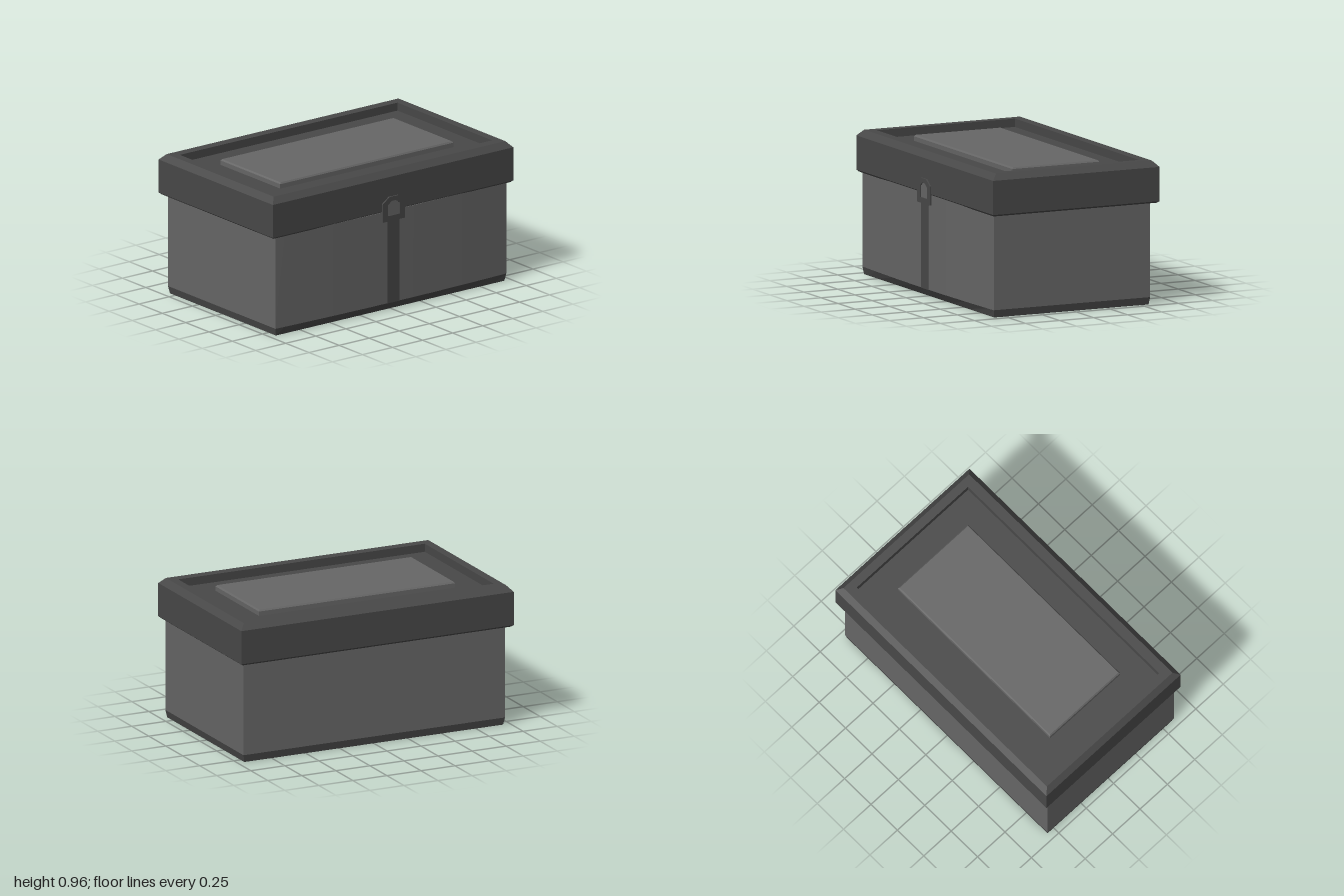
import * as THREE from 'three';

const dark = new THREE.MeshStandardMaterial({ color: 0x484848, flatShading: true });
const light = new THREE.MeshStandardMaterial({ color: 0x666666, flatShading: true });

// Joins horizontal loops [y, [[x, z], ...]] from the bottom up, with caps.
function loft(sections) {
  const pos = [], idx = [], n = sections[0][1].length;
  for (const [y, loop] of sections) for (const [x, z] of loop) pos.push(x, y, z);
  for (let s = 0; s < sections.length - 1; s++) {
    for (let i = 0; i < n; i++) {
      const a = s * n + i, b = s * n + (i + 1) % n;
      idx.push(a, b, b + n, a, b + n, a + n);
    }
  }
  const top = (sections.length - 1) * n;
  for (let i = 1; i < n - 1; i++) {
    idx.push(0, i + 1, i);
    idx.push(top, top + i, top + i + 1);
  }
  const g = new THREE.BufferGeometry();
  g.setAttribute('position', new THREE.Float32BufferAttribute(pos, 3));
  g.setIndex(idx);
  const flat = g.toNonIndexed();
  flat.computeVertexNormals();
  return flat;
}

// Rectangle of half sizes w, d.
const rect = (w, d, cz = 0) => [[-w, cz + d], [w, cz + d], [w, cz - d], [-w, cz - d]];

// Box outline whose front is a row of planks that bows out by `bulge`.
const planks = [-1, -0.92, -0.78, -0.51, -0.18, 0.18, 0.32, 0.61, 0.9, 1];
const bowed = (w, front, back, bulge) => [
  ...planks.map(t => [t * w, front + bulge * (1 - t * t)]), [w, back], [-w, back],
];

// Gabled outline of the latch.
function gable(Type, w, bottom, shoulder, apex) {
  const s = new Type();
  s.moveTo(-w, bottom);
  s.lineTo(w, bottom);
  s.lineTo(w, shoulder);
  s.lineTo(w * 0.4, apex);
  s.lineTo(-w * 0.4, apex);
  s.lineTo(-w, shoulder);
  s.closePath();
  return s;
}

export function createModel() {
  const model = new THREE.Group();
  const add = (name, geometry, material, x = 0, y = 0, z = 0) => {
    const mesh = new THREE.Mesh(geometry, material);
    mesh.name = name;
    mesh.position.set(x, y, z);
    model.add(mesh);
    return mesh;
  };

  // Body on a base that tapers inward to the ground
  add('base', loft([
    [0, bowed(0.95, 0.58, -0.555, 0)],
    [0.05, bowed(0.96, 0.588, -0.563, 0.022)],
  ]), dark);
  add('body', loft([
    [0.05, bowed(0.96, 0.588, -0.563, 0.022)],
    [0.685, bowed(0.96, 0.588, -0.563, 0.024)],
  ]), light);

  // Lid with bevelled edges and a sunken top
  add('lid', loft([
    [0.68, rect(0.985, 0.6)],
    [0.692, rect(1, 0.612)],
    [0.92, rect(1, 0.612)],
    [0.96, rect(0.963, 0.573)],
    [0.96, rect(0.905, 0.507)],
    [0.905, rect(0.905, 0.507)],
  ]), dark);
  add('lidPanel', loft([
    [0.9, rect(0.72, 0.32, 0.01)],
    [0.935, rect(0.72, 0.32, 0.01)],
    [0.945, rect(0.712, 0.312, 0.01)],
  ]), light);

  // Strap down the middle of the front
  add('strap', new THREE.BoxGeometry(0.1, 0.58, 0.03), dark, 0, 0.34, 0.599);

  // Latch frame with its inset plate
  const frame = gable(THREE.Shape, 0.093, 0.618, 0.745, 0.785);
  frame.holes.push(gable(THREE.Path, 0.05, 0.655, 0.73, 0.755));
  add('latchFrame', new THREE.ExtrudeGeometry(frame, { depth: 0.04, bevelEnabled: false }), dark, 0, 0, 0.582);
  const plate = gable(THREE.Shape, 0.052, 0.65, 0.732, 0.758);
  add('latchPlate', new THREE.ExtrudeGeometry(plate, { depth: 0.02, bevelEnabled: false }), light, 0, 0, 0.595);

  return model;
}
